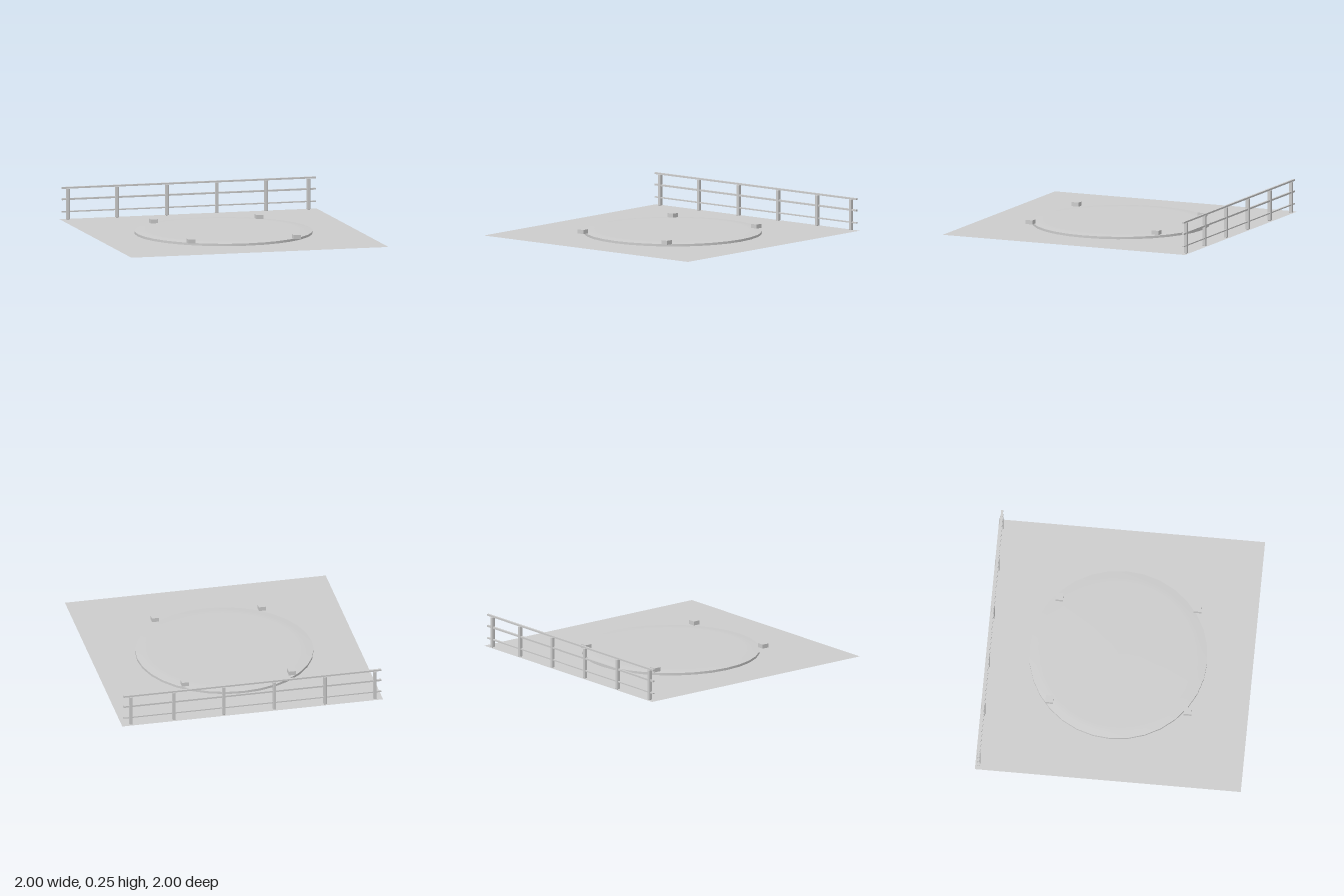
import * as THREE from 'three';
import { RoundedBoxGeometry } from 'three/addons/geometries/RoundedBoxGeometry.js';

export function createModel() {
  const model = new THREE.Group();
  const grey = new THREE.MeshStandardMaterial({ color: 0xcccccc, side: THREE.DoubleSide });
  grey.name = 'light grey';

  const add = (name, geometry, x, y, z, parent = model) => {
    const mesh = new THREE.Mesh(geometry, grey);
    mesh.name = name;
    mesh.position.set(x, y, z);
    parent.add(mesh);
    return mesh;
  };

  // flat square ground sheet
  add('groundSheet', new THREE.PlaneGeometry(2, 2).rotateX(-Math.PI / 2), 0, 0, 0);

  // low round platform: upright rim, then a shallow slope to the flat top
  const side = [[0.668, 0], [0.668, 0.018]].map(p => new THREE.Vector2(...p));
  const top = [[0.668, 0.018], [0.62, 0.022], [0.57, 0.025], [0, 0.026]].map(p => new THREE.Vector2(...p));
  const platform = new THREE.Group();
  platform.name = 'roundPlatform';
  model.add(platform);
  add('platformRim', new THREE.LatheGeometry(side, 32), 0, 0, -0.012, platform);
  add('platformTop', new THREE.LatheGeometry(top, 32), 0, 0, -0.012, platform);

  // four small blocks around the platform edge
  for (const x of [-0.41, 0.41]) {
    for (const z of [-0.493, 0.548]) {
      add('edgeBlock', new THREE.BoxGeometry(0.055, 0.031, 0.057), x, 0.0375, z);
    }
  }

  // railing along the back edge
  const fence = new THREE.Group();
  fence.name = 'backFence';
  model.add(fence);
  for (const x of [-0.941, -0.56, -0.171, 0.216, 0.6, 0.93]) {
    add('fencePost', new RoundedBoxGeometry(0.024, 0.233, 0.027, 1, 0.004), x, 0.1175, -0.976, fence);
  }
  for (const [y, height] of [[0.24, 0.013], [0.154, 0.013], [0.06, 0.009]]) {
    add('fenceRail', new THREE.BoxGeometry(1.976, height, 0.016), -0.002, y, -0.976, fence);
  }

  return model;
}
